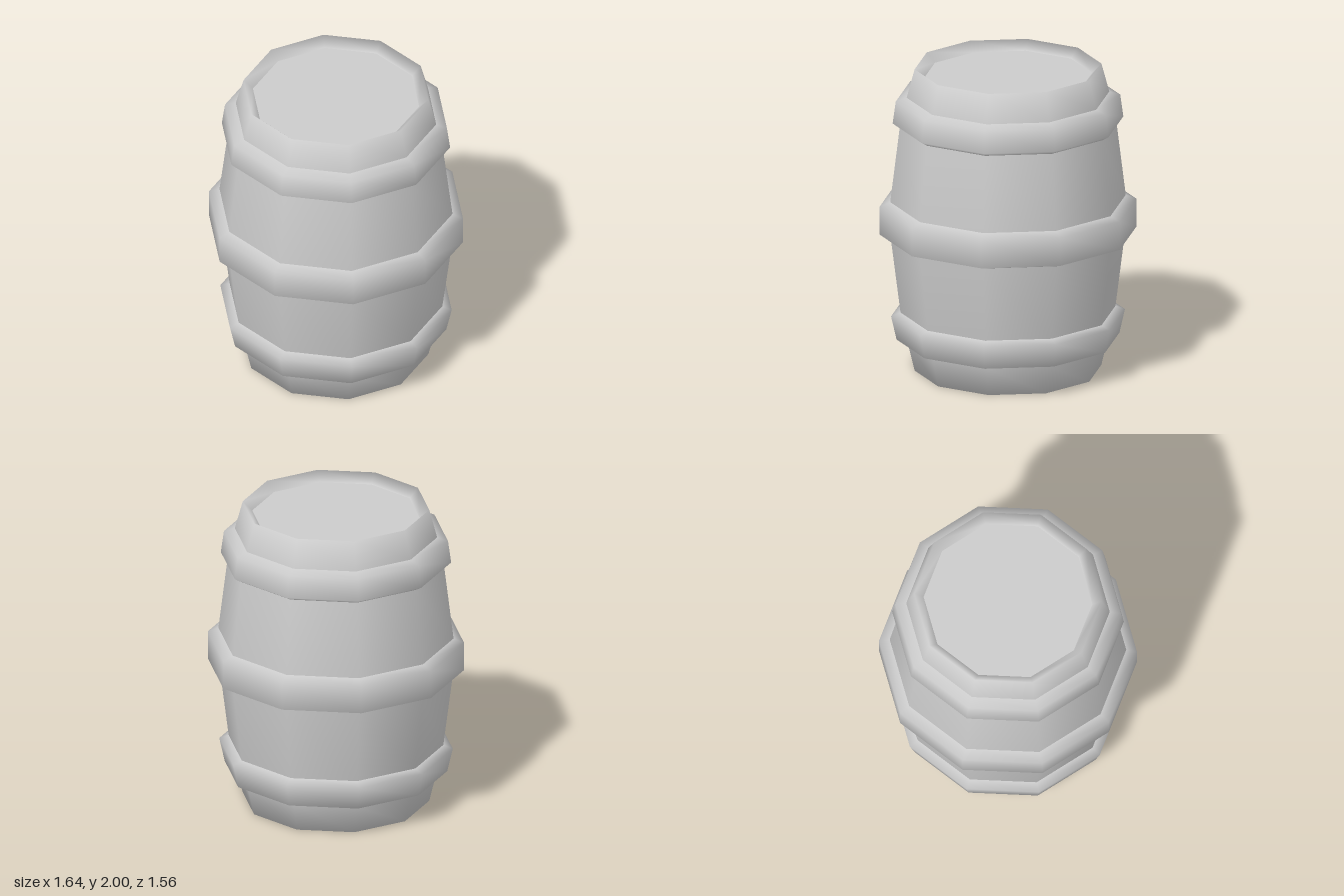
import * as THREE from 'three';

const SIDES = 10;

export function createModel() {
  const barrel = new THREE.Group();
  barrel.name = 'barrel';
  const material = new THREE.MeshStandardMaterial({ color: 0xcccccc });

  const add = (name, geometry) => {
    const mesh = new THREE.Mesh(geometry, material);
    mesh.name = name;
    barrel.add(mesh);
    return mesh;
  };

  // Ten-sided smooth ring from [radius, y] points listed bottom to top, one corner on +x
  const ring = (name, profile) => add(name, new THREE.LatheGeometry(
    profile.map(([r, y]) => new THREE.Vector2(r, y)), SIDES, Math.PI / 2));

  // Bulging staves, with rims that slope inwards to the sunken heads
  ring('staves', [
    [0.535, 0.06], [0.595, 0], [0.64, 0.19], [0.685, 0.39], [0.747, 0.885],
    [0.75, 1.125], [0.69, 1.615], [0.645, 1.815], [0.595, 2], [0.535, 1.94],
  ]);

  // Bevelled hoops
  ring('bottomHoop', [[0.635, 0.19], [0.71, 0.21], [0.745, 0.365], [0.68, 0.39]]);
  ring('middleHoop', [[0.742, 0.885], [0.818, 0.91], [0.818, 1.095], [0.745, 1.125]]);
  ring('topHoop', [[0.685, 1.615], [0.735, 1.645], [0.715, 1.79], [0.64, 1.815]]);

  // Flat heads
  for (const [name, y, turn] of [['topHead', 1.94, -1], ['bottomHead', 0.06, 1]]) {
    const head = add(name, new THREE.CircleGeometry(0.535, SIDES));
    head.rotation.x = turn * Math.PI / 2;
    head.position.y = y;
  }

  return barrel;
}
